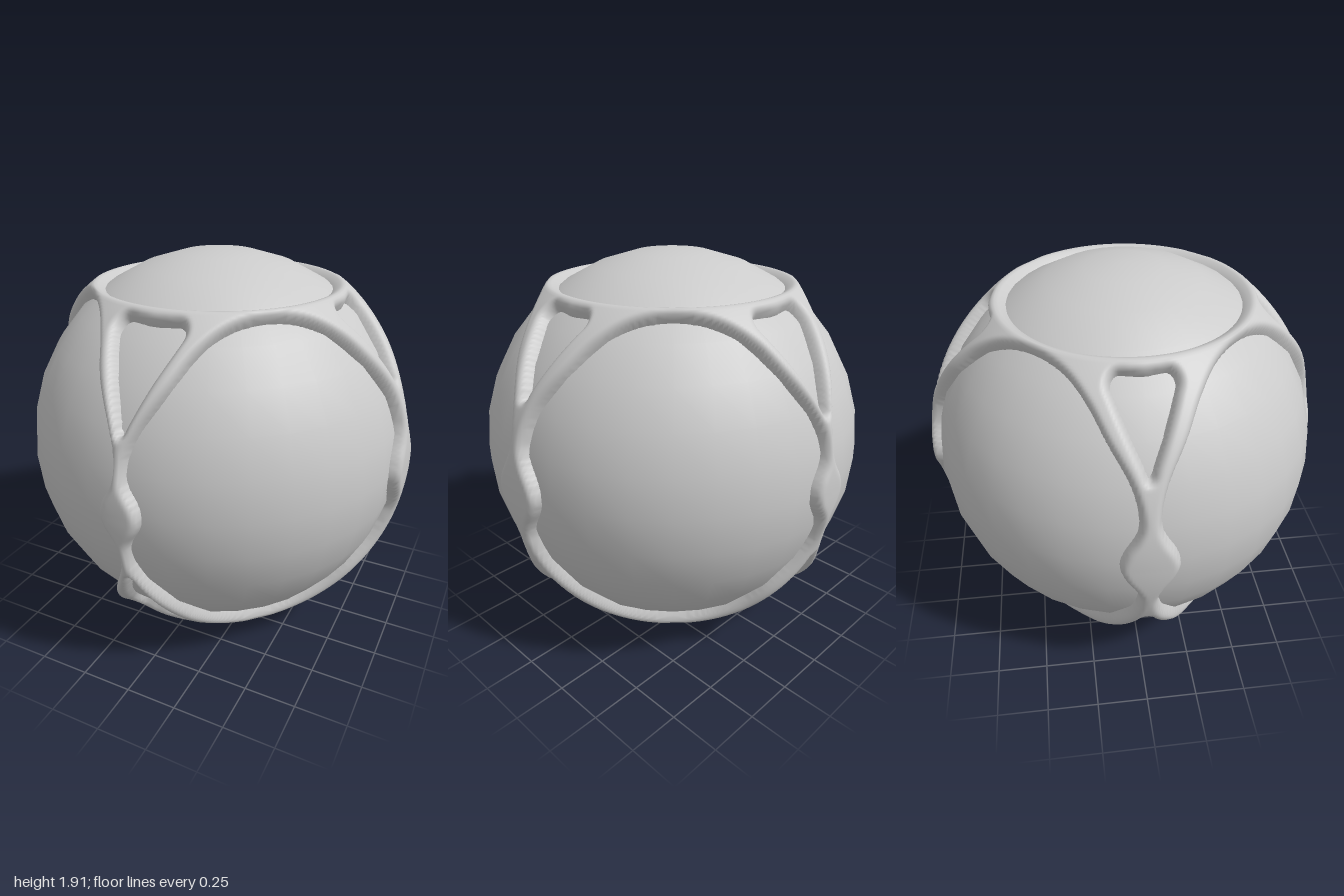
import * as THREE from 'three';

const BALL = 0.955;            // ball radius
const CENTRE = 0.957;          // height of the ball's centre
const RING = THREE.MathUtils.degToRad(54.8); // elevation of the round top and bottom openings
const ROUND = 0.04;            // width of the rounded edge of the cage
const FOOT = 0.935;            // cage edges start just under the ball's surface

// Opening edges as [distance from the strut's middle, height above the centre]
const frontEdge = [[0.10, 0], [0.085, 0.06], [0.04, 0.14], [0.03, 0.21], [0.04, 0.28], [0.078, 0.37],
  [0.165, 0.52], [0.23, 0.64], [0.31, 0.715]];
const sideEdge = [[0.135, 0], [0.115, 0.07], [0.07, 0.15], [0.05, 0.21], [0.055, 0.29], [0.085, 0.39],
  [0.165, 0.53], [0.23, 0.64], [0.31, 0.715]];
const frontTriangle = [[0, 0.345], [0.02, 0.39], [0.08, 0.53], [0.135, 0.65], [0.15, 0.70], [0.13, 0.728],
  [0.06, 0.73], [0, 0.728]];
const sideTriangle = [[0, 0.405], [0.02, 0.45], [0.07, 0.56], [0.115, 0.66], [0.13, 0.70], [0.11, 0.728],
  [0.05, 0.73], [0, 0.728]];

// Points on the ball beside the front (+z) or the side (+x) strut
const onFront = ([w, y]) => new THREE.Vector3(w, y, Math.sqrt(BALL * BALL - w * w - y * y));
const onSide = ([w, y]) => new THREE.Vector3(Math.sqrt(BALL * BALL - w * w - y * y), y, w);
const azimuth = (p) => Math.atan2(p.x, p.z);
const elevation = (p) => Math.asin(THREE.MathUtils.clamp(p.y, -1, 1));

// Smooth closed outline on the unit sphere
function makeLoop(points, count) {
  const curve = new THREE.CatmullRomCurve3(points, true);
  const pts = [];
  for (let i = 0; i < count; i++) pts.push(curve.getPoint(i / count).normalize());
  return { pts, flat: pts.map((p) => [azimuth(p), elevation(p)]) };
}

function triangleLoop(half, place) {
  const mirrored = half.slice(1, -1).reverse().map(([w, y]) => [-w, y]);
  return makeLoop([...half, ...mirrored].map(place), 90);
}

function windowLoop() {
  const flip = (e) => e.slice(1).map(([w, y]) => [w, -y]);
  const h = Math.sqrt((BALL * BALL - 0.742 * 0.742) / 2);
  return makeLoop([
    ...flip(frontEdge).reverse().map(onFront), ...frontEdge.map(onFront),
    new THREE.Vector3(h, 0.742, h),
    ...[...sideEdge].reverse().map(onSide), ...flip(sideEdge).map(onSide),
    new THREE.Vector3(h, -0.742, h),
  ], 220);
}

function isInside(flat, a, e) {
  let inside = false;
  for (let i = 0, j = flat.length - 1; i < flat.length; j = i++) {
    const [ax, ay] = flat[i], [bx, by] = flat[j];
    if ((ay > e) !== (by > e) && a < ((bx - ax) * (e - ay)) / (by - ay) + ax) inside = !inside;
  }
  return inside;
}

// Nearest point of an outline
const seg = new THREE.Line3(), hit = new THREE.Vector3();
function nearest(pts, p, target) {
  let best = Infinity;
  for (let i = 0; i < pts.length; i++) {
    seg.start.copy(pts[i]);
    seg.end.copy(pts[(i + 1) % pts.length]);
    seg.closestPointToPoint(p, true, hit);
    const d = hit.distanceToSquared(p);
    if (d < best) { best = d; target.copy(hit); }
  }
  return Math.sqrt(best);
}

// Cage: a grid over the sphere, trimmed to the openings and rounded at their edges
function cageGeometry() {
  const loops = [windowLoop(), triangleLoop(frontTriangle, onFront), triangleLoop(sideTriangle, onSide)];
  const cols = 480, rows = 160, top = RING + 0.01;
  const positions = [], depth = [], index = [];
  const p = new THREE.Vector3(), near = new THREE.Vector3(), edge = new THREE.Vector3();

  for (let j = 0; j <= rows; j++) {
    const el = -top + (2 * top * j) / rows;
    for (let i = 0; i < cols; i++) {
      const az = (i / cols) * Math.PI * 2;
      const dir = new THREE.Vector3(Math.sin(az) * Math.cos(el), Math.sin(el), Math.cos(az) * Math.cos(el));
      // All eight octants are alike, so measure in the first one
      p.set(Math.abs(dir.x), Math.abs(dir.y), Math.abs(dir.z));
      const a = azimuth(p), e = elevation(p);
      let d = RING - e;
      edge.set(Math.sin(a) * Math.cos(RING), Math.sin(RING), Math.cos(a) * Math.cos(RING));
      for (const { pts, flat } of loops) {
        const dist = nearest(pts, p, near) * (isInside(flat, a, e) ? -1 : 1);
        if (dist < d) { d = dist; edge.copy(near); }
      }
      if (d <= 0) {
        // Pull trimmed vertices back onto the outline
        dir.set(edge.x * (dir.x < 0 ? -1 : 1), edge.y * (dir.y < 0 ? -1 : 1), edge.z * (dir.z < 0 ? -1 : 1));
      }
      const t = 1 - THREE.MathUtils.clamp(d / ROUND, 0, 1);
      const crest = 1 + 0.01 * Math.abs(dir.y);
      dir.setLength(FOOT + (crest - FOOT) * Math.sqrt(1 - t * t));
      positions.push(dir.x, dir.y, dir.z);
      depth.push(d);
    }
  }
  const add = (...tri) => { if (tri.some((v) => depth[v] > 0)) index.push(...tri); };
  for (let j = 0; j < rows; j++) {
    for (let i = 0; i < cols; i++) {
      const k = (i + 1) % cols;
      const a = j * cols + i, b = j * cols + k, c = b + cols, d = a + cols;
      add(a, b, c);
      add(a, c, d);
    }
  }
  const geometry = new THREE.BufferGeometry();
  geometry.setAttribute('position', new THREE.Float32BufferAttribute(positions, 3));
  geometry.setIndex(index);
  geometry.computeVertexNormals();
  return geometry;
}

export function createModel() {
  const group = new THREE.Group();
  group.name = 'cagedBall';
  const material = new THREE.MeshStandardMaterial({ color: 0xcccccc });

  const ball = new THREE.Mesh(new THREE.SphereGeometry(BALL, 32, 16), material);
  ball.name = 'ball';
  const cage = new THREE.Mesh(cageGeometry(), material);
  cage.name = 'cage';

  for (const part of [ball, cage]) {
    part.position.y = CENTRE;
    group.add(part);
  }
  return group;
}
